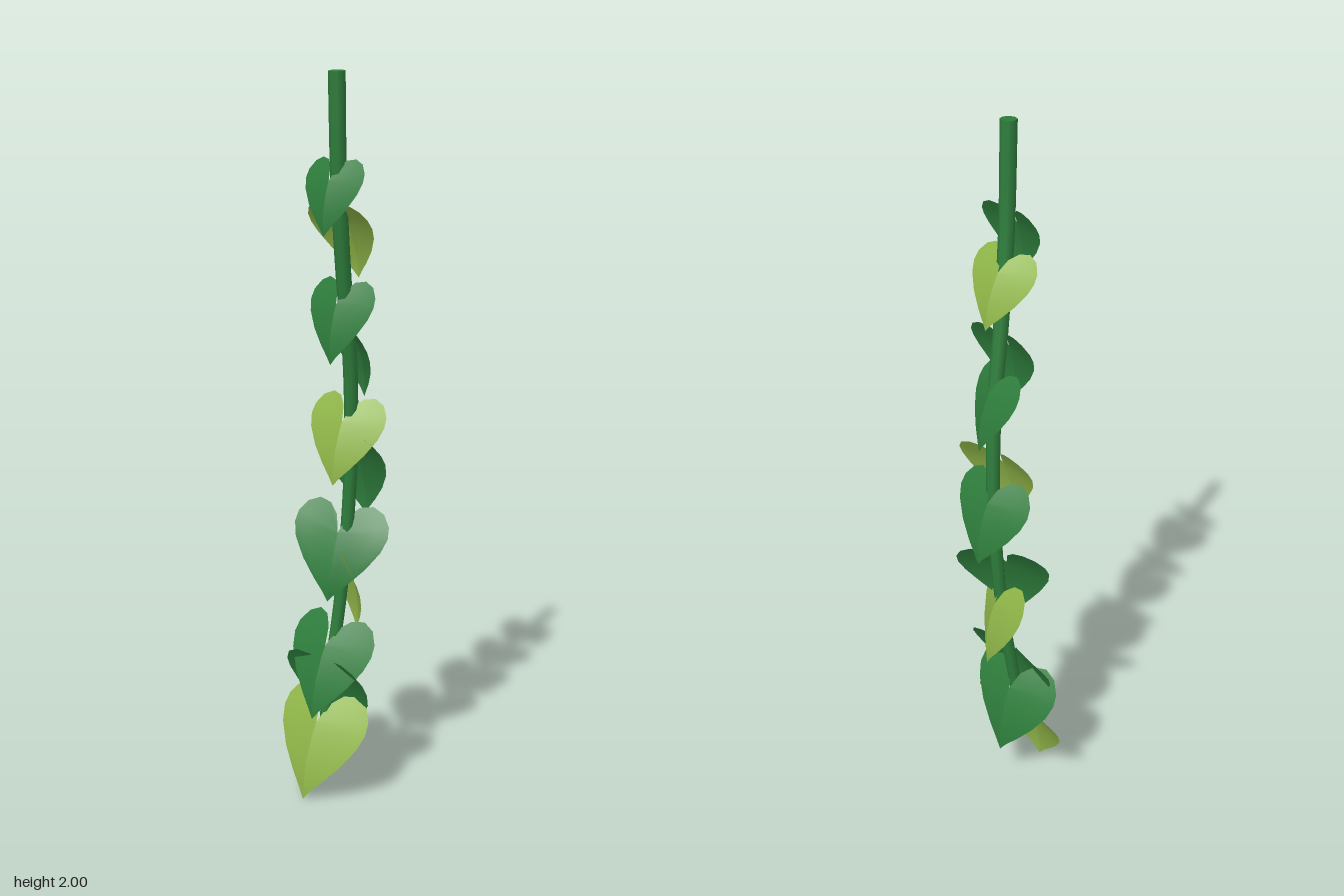
import * as THREE from 'three';

const green = new THREE.MeshStandardMaterial({ color: 0x2e7d3c, side: THREE.DoubleSide });
green.name = 'deepGreen';
const lime = new THREE.MeshStandardMaterial({ color: 0x8fb548, side: THREE.DoubleSide });
lime.name = 'limeGreen';

// Centre line of the hanging stem, top to bottom
const path = new THREE.CatmullRomCurve3([
  [-0.07, 2, 0.084], [-0.055, 1.72, 0.077], [-0.02, 1.47, 0.062], [0.02, 1.25, 0.047],
  [0.04, 1.0, 0.033], [0.04, 0.78, 0.02], [0.02, 0.55, 0.01], [-0.01, 0.35, 0.002], [-0.037, 0.14, 0],
].map(p => new THREE.Vector3(...p)));

// Point of the stem at a given height
function stemAt(y) {
  let a = 0, b = 1;
  for (let i = 0; i < 30; i++) {
    const m = (a + b) / 2;
    if (path.getPoint(m).y > y) a = m; else b = m;
  }
  return path.getPoint(a);
}

// Tapered tube with closed ends
function makeStem() {
  const group = new THREE.Group();
  group.name = 'stem';
  const steps = 40, sides = 8, r0 = 0.022, r1 = 0.016;
  const geo = new THREE.TubeGeometry(path, steps, r0, sides);
  const pos = geo.attributes.position, v = new THREE.Vector3();
  for (let i = 0; i < pos.count; i++) {
    const t = Math.floor(i / (sides + 1)) / steps;
    const c = path.getPointAt(t);
    v.fromBufferAttribute(pos, i).sub(c).multiplyScalar(1 + (r1 / r0 - 1) * t).add(c);
    pos.setXYZ(i, v.x, v.y, v.z);
  }
  const tube = new THREE.Mesh(geo, green);
  tube.name = 'stemTube';
  group.add(tube);
  for (const [t, r, dir] of [[0, r0, -1], [1, r1, 1]]) {
    const cap = new THREE.Mesh(new THREE.CircleGeometry(r, sides), green);
    cap.name = 'stemEnd';
    cap.position.copy(path.getPointAt(t));
    cap.quaternion.setFromUnitVectors(new THREE.Vector3(0, 0, 1), path.getTangentAt(t).multiplyScalar(dir));
    group.add(cap);
  }
  return group;
}

// Heart-shaped leaf of unit length: notch at the origin, tip at y = -1,
// halves folded back from the midrib and arched from lobes to tip
function makeLeafGeometry() {
  const outline = [[0, 0], [0.08, 0.24], [0.22, 0.38], [0.4, 0.42], [0.57, 0.34], [0.68, 0.18],
    [0.7, 0.02], [0.64, -0.18], [0.47, -0.45], [0.26, -0.7], [0.1, -0.87], [0, -1]];
  const cols = 4, verts = [], index = [];
  for (const side of [1, -1]) {
    const base = verts.length / 3;
    outline.forEach(([u, v], i) => {
      const rib = Math.min(0, v);
      for (let j = 0; j <= cols; j++) {
        const k = j / cols, x = u * k, y = rib + (v - rib) * k;
        const arch = -0.25 * y * (1 + y), fold = -0.26 * x + 0.1 * x * x;
        verts.push(side * x, y, arch + fold);
        if (i === 0 || j === 0) continue;
        const d = base + i * (cols + 1) + j, c = d - 1, b = d - cols - 1, a = b - 1;
        if (side > 0) index.push(a, c, b, b, c, d);
        else index.push(a, b, c, b, d, c);
      }
    });
  }
  const geo = new THREE.BufferGeometry();
  geo.setAttribute('position', new THREE.Float32BufferAttribute(verts, 3));
  geo.setIndex(index);
  geo.computeVertexNormals();
  return geo;
}

// Leaves down the stem: side, lobe top y, tip y, tip x, roll about the midrib, material
const leaves = [
  [-1, 1.79, 1.59, -0.105, 0, green],
  [1, 1.68, 1.47, 0.033, 0, lime],
  [-1, 1.475, 1.25, -0.06, 0, green],
  [1, 1.37, 1.14, 0.08, -0.36, green],
  [-1, 1.155, 0.91, -0.03, 0.1, lime],
  [1, 1.055, 0.8, 0.107, 0, green],
  [-1, 0.845, 0.575, -0.032, 0.43, green],
  [1, 0.735, 0.46, 0.092, -0.48, lime],
  [-1, 0.525, 0.235, -0.08, 0, green],
  [1, 0.42, 0.12, 0.055, 0, green],
  [-1, 0.31, 0, -0.112, 0, lime],
];

export function createModel() {
  const model = new THREE.Group();
  model.name = 'hangingVine';
  model.add(makeStem());

  const leafGeo = makeLeafGeometry();
  for (const [side, top, tipY, tipX, roll, material] of leaves) {
    const notch = stemAt(tipY + 0.7 * (top - tipY));
    notch.x += side * 0.03;
    notch.z -= 0.006;
    const tip = new THREE.Vector3(tipX, tipY, notch.z);
    // Leaf axes: up the midrib, outward from the stem, and across
    const up = notch.clone().sub(tip);
    const length = up.length();
    up.normalize();
    const out = new THREE.Vector3(side, 0, 0).addScaledVector(up, -side * up.x).normalize();
    out.applyAxisAngle(up, roll);
    const across = up.clone().cross(out);
    const leaf = new THREE.Mesh(leafGeo, material);
    leaf.name = 'leaf';
    leaf.quaternion.setFromRotationMatrix(new THREE.Matrix4().makeBasis(across, up, out));
    leaf.position.copy(notch);
    leaf.scale.setScalar(length);
    model.add(leaf);
  }
  return model;
}
